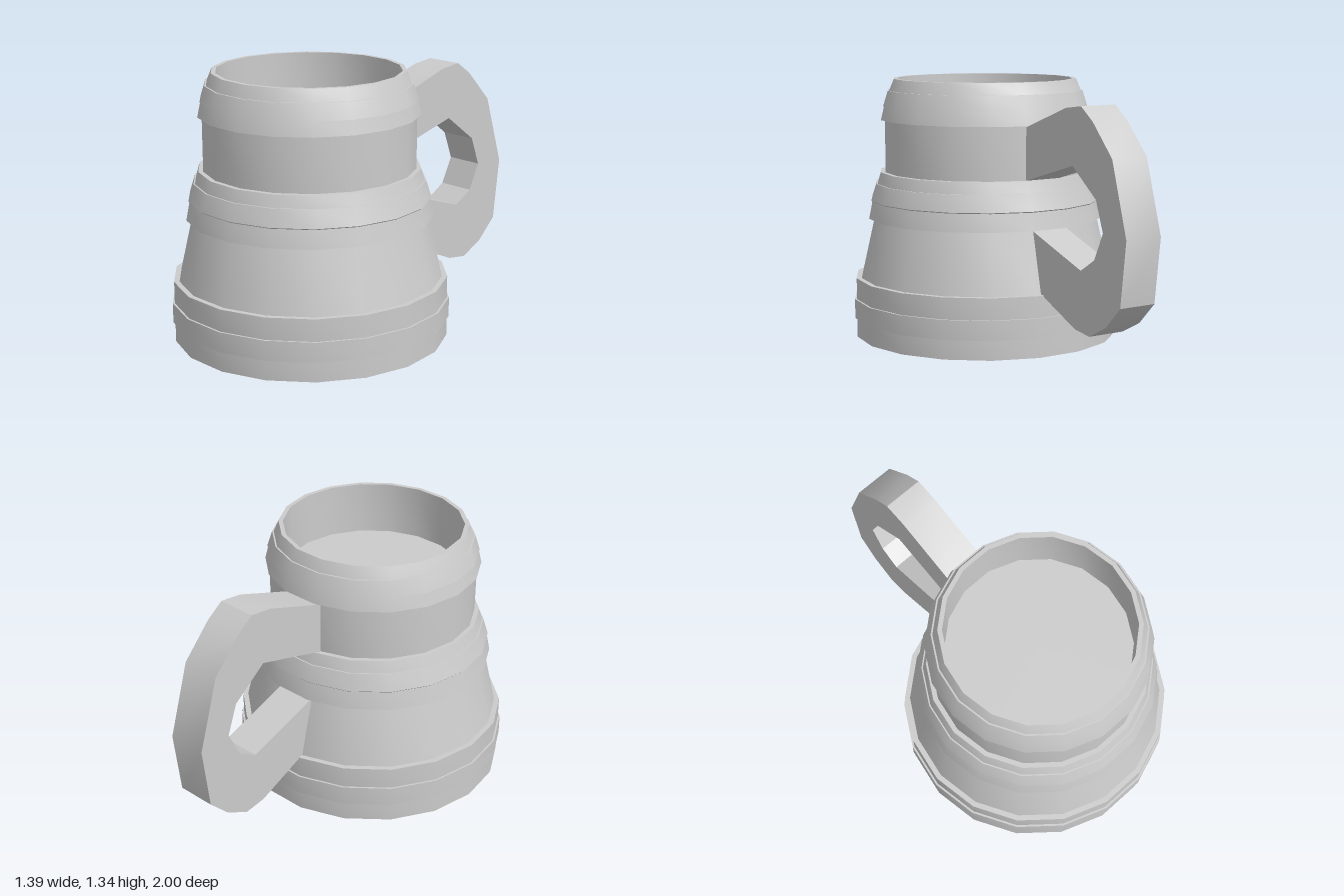
import * as THREE from 'three';
import { toCreasedNormals } from 'three/addons/utils/BufferGeometryUtils.js';

const SIDES = 18;
const BODY_Z = 0.32;

export function createModel() {
  const model = new THREE.Group();
  model.name = 'tankard';
  const material = new THREE.MeshStandardMaterial({ color: 0xcccccc });

  function add(name, geometry, crease) {
    const mesh = new THREE.Mesh(toCreasedNormals(geometry, crease), material);
    mesh.name = name;
    model.add(mesh);
    return mesh;
  }

  // Turned body: [radius, height] from the recessed base, up the bands, over the rim to the inner floor
  const profile = [
    [0, 0.04], [0.65, 0.04], [0.675, 0],
    [0.685, 0], [0.685, 0.1], [0.695, 0.1], [0.695, 0.2], [0.685, 0.2], [0.685, 0.31], // foot
    [0.658, 0.31], [0.587, 0.62], // flared lower wall
    [0.615, 0.62], [0.597, 0.71], [0.602, 0.715], [0.575, 0.8], [0.568, 0.8], [0.55, 0.86], // middle bands
    [0.526, 0.86], [0.526, 1.13], // straight neck
    [0.547, 1.13], [0.53, 1.2], [0.535, 1.2], [0.51, 1.28], [0.502, 1.28], [0.477, 1.34], // rim bands
    [0.455, 1.34], [0.455, 1.07], [0, 1.07], // inner wall and floor
  ].map(([r, y]) => new THREE.Vector2(r, y));
  const body = new THREE.LatheGeometry(profile, SIDES, Math.PI / 2);
  add('body', body, 0.45).position.z = BODY_Z;

  // Angular handle: [distance behind centre, height], outer edge then inner edge
  const outline = [
    [0.17, 1.113], [0.215, 1.13], [0.53, 1.24], [0.65, 1.255], [0.74, 1.19], [0.89, 1.03],
    [1, 0.67], [0.96, 0.35], [0.85, 0.24], [0.725, 0.175], [0.61, 0.19], [0.3, 0.325],
    [0.23, 0.625], [0.655, 0.48], [0.76, 0.545], [0.825, 0.68], [0.77, 0.83],
    [0.585, 0.97], [0.215, 0.865], [0.17, 0.852],
  ].map(([d, y]) => new THREE.Vector2(d, y));
  const handle = new THREE.ExtrudeGeometry(new THREE.Shape(outline), { depth: 0.2, bevelEnabled: false });
  handle.rotateY(Math.PI / 2).translate(-0.11, 0, 0);
  add('handle', handle, 0.5);

  return model;
}
